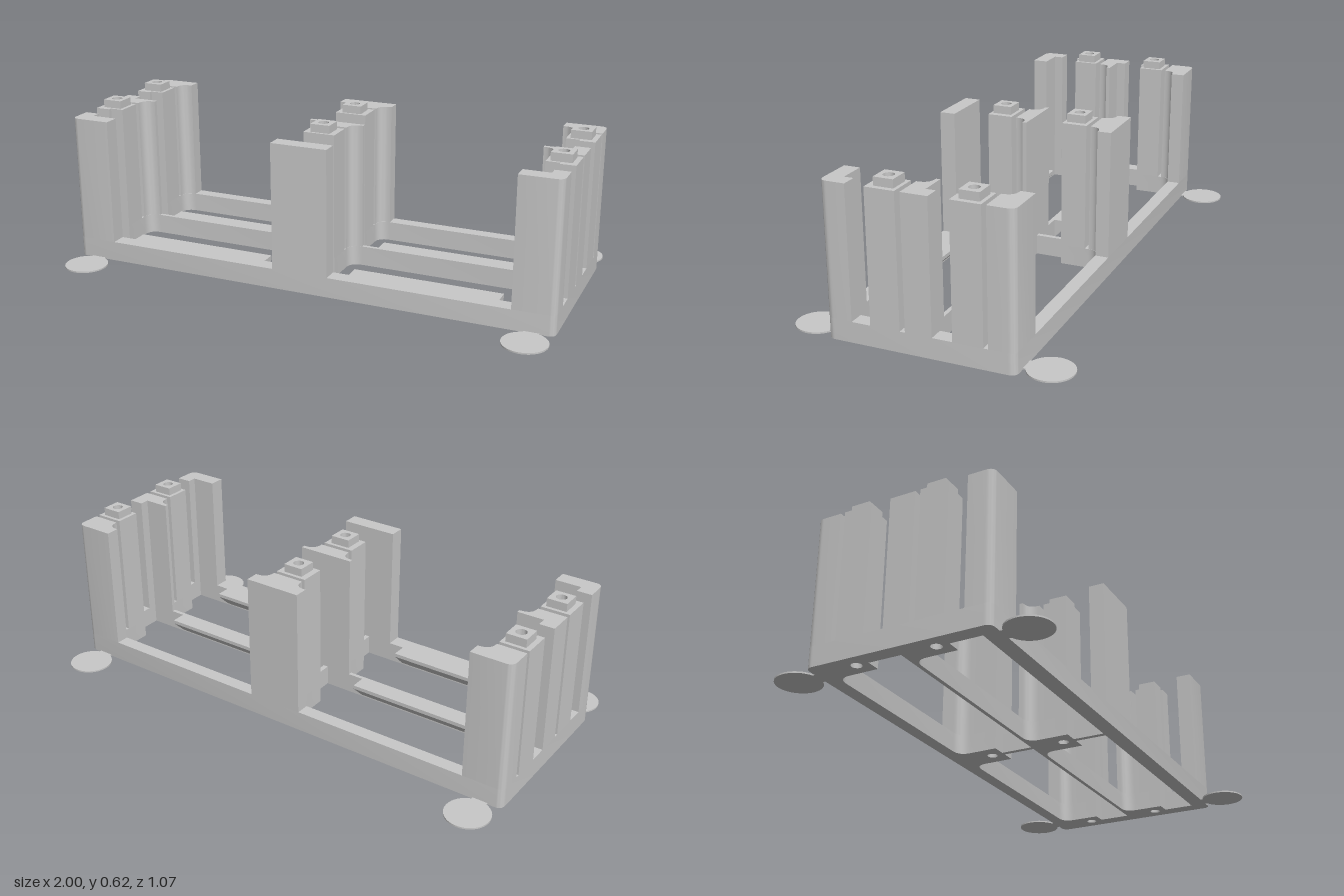
import * as THREE from 'three';
import { toCreasedNormals } from 'three/addons/utils/BufferGeometryUtils.js';

const BASE = 0.08, TOP = 0.588, PEG = 0.62;

export function createModel() {
  const group = new THREE.Group();
  const grey = new THREE.MeshStandardMaterial({ color: 0xc8c8c8 });
  grey.name = 'lightGrey';

  // Plan outline from [x, z, cornerRadius] points, drawn with y = -z,
  // always anticlockwise so that walls and hole linings face outward
  function outline(plan, PathClass = THREE.Shape) {
    const area = THREE.ShapeUtils.area(plan.map(([x, z]) => ({ x, y: -z })));
    const points = area < 0 ? [...plan].reverse() : plan;
    const path = new PathClass();
    const n = points.length;
    const toward = (p, q, r) => {
      const d = Math.hypot(q[0] - p[0], q[1] - p[1]);
      return [p[0] + (q[0] - p[0]) * r / d, p[1] + (q[1] - p[1]) * r / d];
    };
    points.forEach((p, i) => {
      const r = p[2] || 0;
      const a = toward(p, points[(i + n - 1) % n], r);
      const b = toward(p, points[(i + 1) % n], r);
      if (i === 0) path.moveTo(a[0], -a[1]); else path.lineTo(a[0], -a[1]);
      if (r) path.quadraticCurveTo(p[0], -p[1], b[0], -b[1]);
    });
    path.closePath();
    return path;
  }

  const rect = (x0, x1, z0, z1) => [[x0, z0], [x1, z0], [x1, z1], [x0, z1]];
  const flip = (points, s) => points.map(([x, z, r]) => [x * s, z, r]);
  const boltHole = (x, z) => new THREE.Path().absarc(x, -z, 0.021, 0, Math.PI * 2, false);

  function add(name, geometry) {
    const mesh = new THREE.Mesh(geometry, grey);
    mesh.name = name;
    group.add(mesh);
    return mesh;
  }

  // Upright prism over a plan outline
  function prism(name, points, y0, y1, holes = []) {
    const shape = outline(points);
    shape.holes.push(...holes);
    const geo = new THREE.ExtrudeGeometry(shape, { depth: y1 - y0, bevelEnabled: false, curveSegments: 8 });
    geo.rotateX(-Math.PI / 2);
    geo.translate(0, y0, 0);
    return add(name, toCreasedNormals(geo, 0.6));
  }

  // Two bays: back wall face, front wall face, block front and peg centre
  const bays = [
    { back: -0.307, front: -0.013, block: -0.142, peg: -0.191 },
    { back: 0.003, front: 0.298, block: 0.173, peg: 0.124 },
  ];
  const boltX = [-0.94, 0, 0.94];

  // Base frame with four openings and six bolt holes
  const openings = [];
  for (const { back, front, block, peg } of bays) {
    for (const s of [-1, 1]) {
      openings.push(outline(flip([
        [0.065, back, 0.05], [0.065, block], [0.01, block], [0.01, front],
        [0.94, front], [0.94, block], [0.885, block], [0.885, back, 0.05],
      ], s), THREE.Path));
    }
    for (const x of boltX) openings.push(boltHole(x, peg));
  }
  prism('baseFrame', [[-1, -0.361, 0.03], [1, -0.361, 0.03], [1, 0.361, 0.03], [-1, 0.361, 0.03]], 0, BASE, openings);

  // End posts, mirrored left and right
  for (const s of [-1, 1]) {
    prism('backCornerPost', flip([
      [0.836, -0.361], [1, -0.361, 0.03], [1, -0.26], [0.885, -0.26],
      [0.885, -0.307, 0.044], [0.836, -0.307],
    ], s), BASE, TOP);
    prism('middleEndPost', flip([
      [0.836, -0.013], [0.94, -0.013], [0.94, -0.051], [1, -0.051], [1, 0.052],
      [0.885, 0.052], [0.885, 0.003, 0.044], [0.836, 0.003],
    ], s), BASE, TOP);
    prism('frontCornerPost', flip([
      [0.836, 0.298], [0.94, 0.298], [0.94, 0.261], [1, 0.261],
      [1, 0.361, 0.03], [0.836, 0.361],
    ], s), BASE, TOP);
  }

  // Central posts: two with necks, one plain
  for (const [z0, z1, z2] of [[-0.361, -0.307, -0.26], [-0.013, 0.003, 0.052]]) {
    prism('centrePost', [
      [-0.115, z0], [0.115, z0], [0.115, z1], [0.065, z1, 0.044],
      [0.065, z2], [-0.065, z2], [-0.065, z1, 0.044], [-0.115, z1],
    ], BASE, TOP);
  }
  prism('frontCentrePost', rect(-0.115, 0.115, 0.298, 0.361), BASE, TOP);

  // Bolt columns with square pegs on top, drilled through
  for (const { block, peg } of bays) {
    const back = peg - 0.052;
    for (const x of boltX) {
      const s = Math.sign(x);
      const plan = s === 0 ? rect(-0.065, 0.065, back, block) : flip([
        [0.885, back], [1, back], [1, block + 0.014], [0.94, block + 0.014],
        [0.94, block], [0.885, block],
      ], s);
      prism('boltColumn', plan, BASE, TOP, [boltHole(x, peg)]);
      prism('peg', rect(x - 0.04, x + 0.04, peg - 0.038, peg + 0.038), TOP, PEG, [boltHole(x, peg)]);
    }
  }

  // Wedge ledges behind the front and middle rails, sloped underneath
  for (const z of [0.298, -0.013]) {
    for (const s of [-1, 1]) {
      const profile = new THREE.Shape();
      profile.moveTo(-z, 0.005);
      profile.lineTo(-z + 0.062, 0.065);
      profile.lineTo(-z + 0.062, BASE);
      profile.lineTo(-z, BASE);
      profile.closePath();
      const geo = new THREE.ExtrudeGeometry(profile, { depth: 0.595, bevelEnabled: false });
      geo.rotateY(Math.PI / 2);
      geo.translate(s * 0.477 - 0.2975, 0, 0);
      add('wedgeLedge', geo);
    }
  }

  // Thin corner discs with short tabs
  for (const sx of [-1, 1]) {
    for (const sz of [-1, 1]) {
      const disc = add('cornerDisc', new THREE.CylinderGeometry(0.086, 0.086, 0.006, 40));
      disc.position.set(sx * 0.914, 0.003, sz * 0.451);
      const tab = add('discTab', new THREE.BoxGeometry(0.06, 0.005, 0.04));
      tab.position.set(sx * 0.914, 0.0025, sz * 0.375);
    }
  }

  return group;
}
